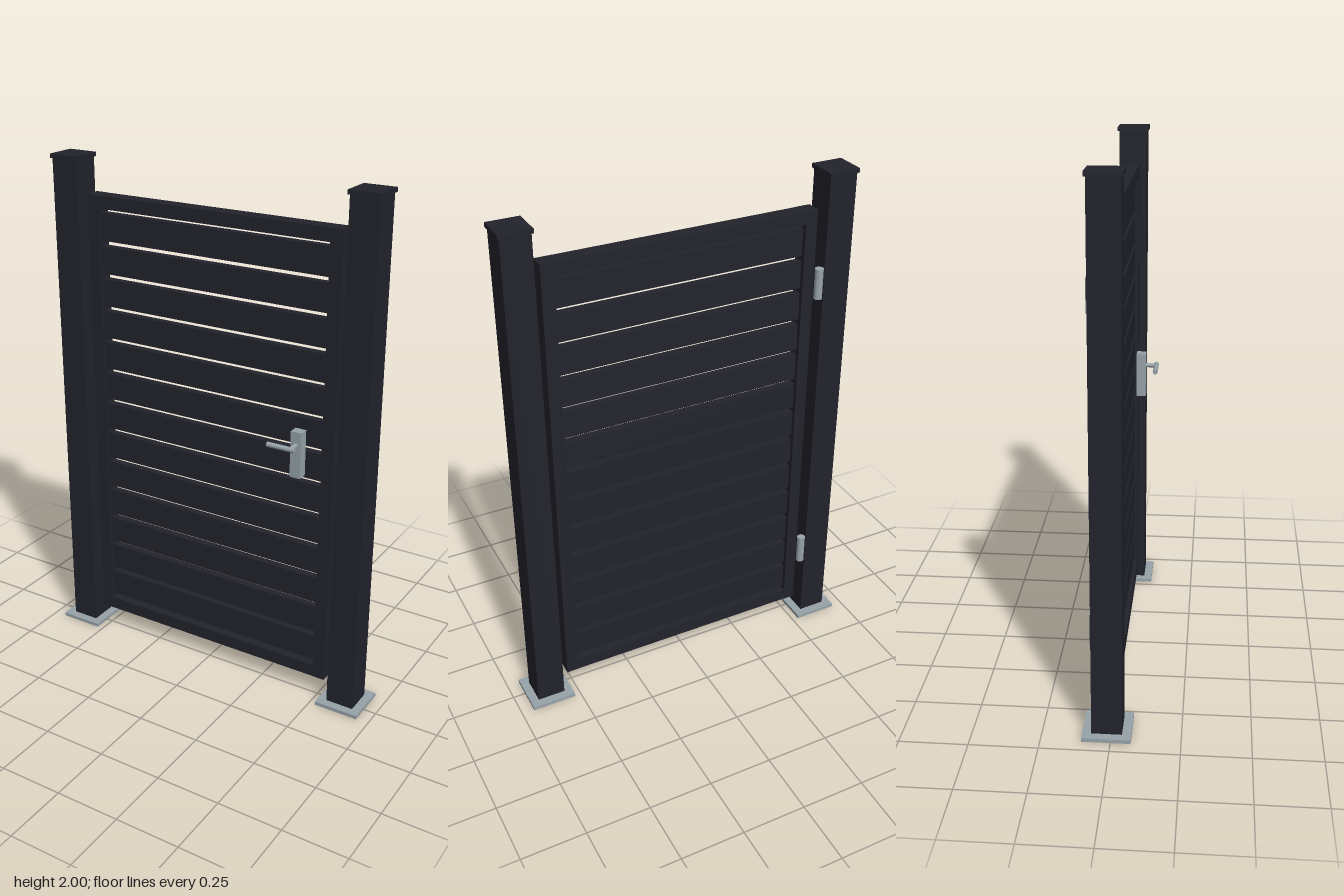
import * as THREE from 'three';

export function createModel() {
  const gate = new THREE.Group();
  gate.name = 'gardenGate';
  const paint = new THREE.MeshStandardMaterial({ color: 0x23232d });
  paint.name = 'anthracite paint';
  const steel = new THREE.MeshStandardMaterial({ color: 0x98a4aa });
  steel.name = 'brushed steel';
  const midZ = -0.016; // shared centre plane of posts and leaf

  const add = (name, geometry, material, x, y, z, parent = gate) => {
    const mesh = new THREE.Mesh(geometry, material);
    mesh.name = name;
    mesh.position.set(x, y, z);
    parent.add(mesh);
    return mesh;
  };
  const box = (w, h, d) => new THREE.BoxGeometry(w, h, d);

  // Square ring extruded upwards: hollow posts and base flanges
  const squareTube = (outer, inner, height) => {
    const square = (Type, s) => new Type([
      new THREE.Vector2(-s, -s), new THREE.Vector2(s, -s),
      new THREE.Vector2(s, s), new THREE.Vector2(-s, s)]);
    const shape = square(THREE.Shape, outer / 2);
    shape.holes.push(square(THREE.Path, inner / 2));
    return new THREE.ExtrudeGeometry(shape, { depth: height, bevelEnabled: false }).rotateX(-Math.PI / 2);
  };

  // Posts with caps and base plates
  for (const side of [-1, 1]) {
    const post = new THREE.Group();
    post.name = side < 0 ? 'rightPost' : 'leftPost';
    post.position.set(side * 0.613, 0, midZ);
    gate.add(post);
    add('postTube', squareTube(0.11, 0.094, 1.986), paint, 0, 0, 0, post);
    add('postCap', box(0.122, 0.016, 0.122), paint, 0, 1.992, 0, post);
    add('basePlate', squareTube(0.176, 0.11, 0.014), steel, 0, 0, 0, post);
  }

  // Leaf frame
  const leaf = new THREE.Group();
  leaf.name = 'gateLeaf';
  leaf.position.z = midZ;
  gate.add(leaf);
  for (const side of [-1, 1]) {
    add('stile', box(0.048, 1.778, 0.06), paint, side * 0.506, 0.971, 0, leaf);
  }
  for (const y of [0.107, 1.835]) {
    add('rail', box(0.964, 0.05, 0.058), paint, 0, y, 0, leaf);
  }

  // Horizontal slats with narrow gaps
  const slat = box(0.964, 0.107, 0.03);
  for (let i = 0; i < 13; i++) {
    add('slat', slat, paint, 0, 0.203 + i * 0.128, 0, leaf);
  }

  // Hinge barrels at the back
  const barrel = new THREE.CylinderGeometry(0.0165, 0.0165, 0.12, 16);
  for (const y of [0.361, 1.583]) add('hinge', barrel, steel, -0.534, y, -0.073);

  // Lock plate and lever handle
  const handle = new THREE.Group();
  handle.name = 'handle';
  handle.position.x = 0.396;
  gate.add(handle);
  add('lockPlate', box(0.043, 0.18, 0.038), steel, 0, 1.024, 0.033, handle);
  add('handleShank', new THREE.CylinderGeometry(0.009, 0.009, 0.05, 16).rotateX(Math.PI / 2),
    steel, 0, 1.062, 0.07, handle);
  add('handleLever', new THREE.CylinderGeometry(0.01, 0.01, 0.112, 16).rotateZ(Math.PI / 2),
    steel, -0.038, 1.062, 0.094, handle);

  return gate;
}
